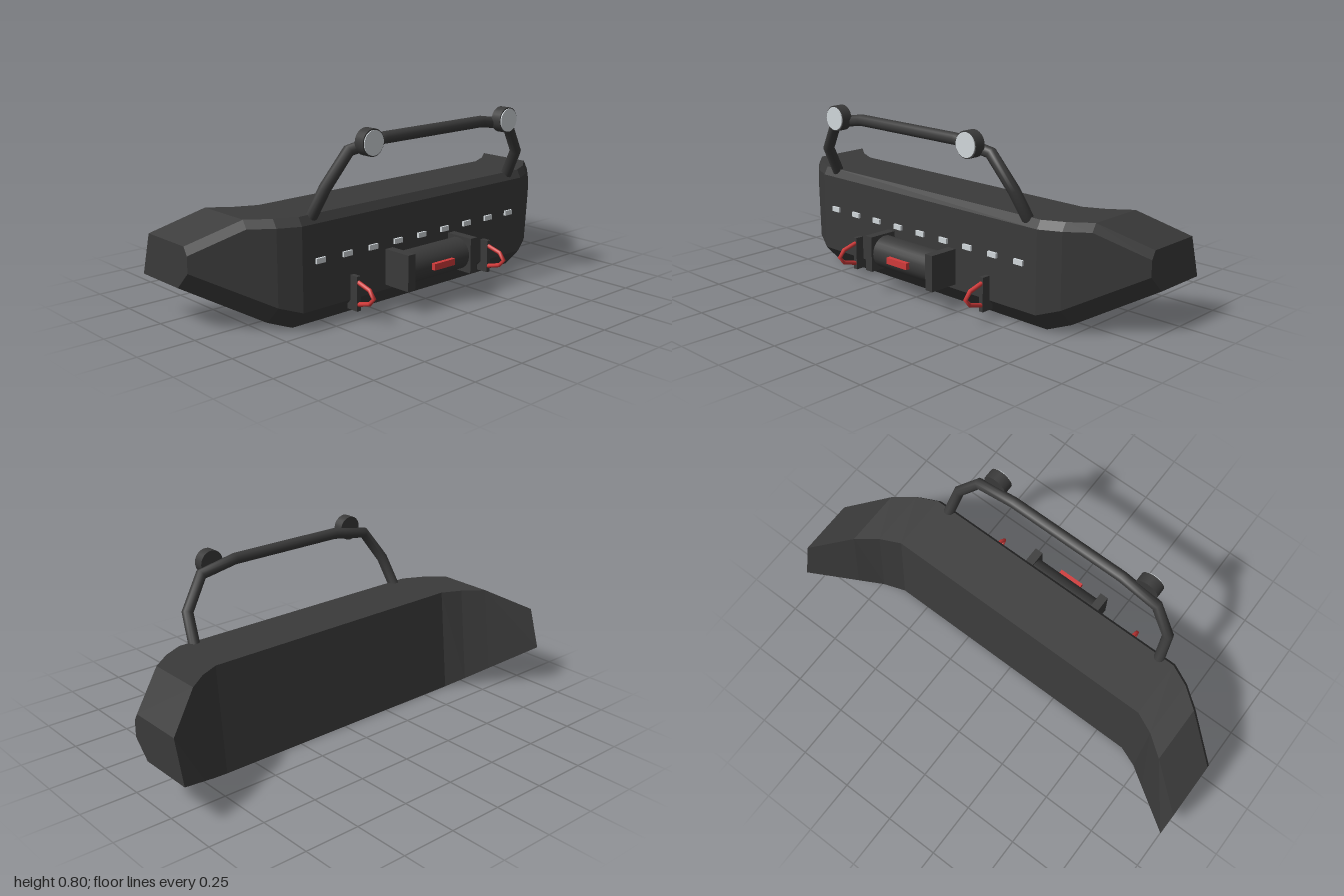
import * as THREE from 'three';

const steel = new THREE.MeshStandardMaterial({ color: 0x3a3a3a });
steel.name = 'darkSteel';
const red = new THREE.MeshStandardMaterial({ color: 0xd03a3a });
red.name = 'red';
const glass = new THREE.MeshStandardMaterial({ color: 0xd0d6da });
glass.name = 'paleGlass';

function add(parent, name, geometry, material, x = 0, y = 0, z = 0) {
  const mesh = new THREE.Mesh(geometry, material);
  mesh.name = name;
  mesh.position.set(x, y, z);
  parent.add(mesh);
  return mesh;
}

// Tube with straight runs and one ring at every corner
function bentTube(points, radius, sides) {
  const v = points.map((p) => new THREE.Vector3(...p));
  const curve = new THREE.Curve();
  curve.getPoint = (t, target = new THREE.Vector3()) => {
    const f = t * (v.length - 1);
    const i = Math.min(Math.floor(f), v.length - 2);
    return target.lerpVectors(v[i], v[i + 1], f - i);
  };
  curve.getPointAt = curve.getPoint;
  curve.getTangentAt = (t, target) => curve.getTangent(t, target);
  return new THREE.TubeGeometry(curve, v.length - 1, radius, sides);
}

// Bumper shell: six-sided section lofted along x, swept back and up at the ends
function shellGeometry() {
  // [z, y] in the middle, then how far each corner sweeps back and up
  const corners = [
    [0.22, 0.08, 0.25, 0.18], [0.22, 0.43, 0.25, 0],
    [0.2, 0.465, 0.25, 0], [-0.06, 0.465, 0.245, 0],
    [-0.11, 0, 0.25, 0.185], [0.145, 0, 0.25, 0.185],
  ];
  // [x, sweep, drop of the top]
  const half = [[0.64, 0, 0], [0.73, 0.17, 0], [0.82, 0.447, 0], [1, 1, 0.1]];
  const stations = [...half].reverse().map(([x, t, d]) => [-x, t, d]).concat(half);
  const positions = [];
  for (const [x, t, drop] of stations) {
    corners.forEach(([z, y, back, up], i) => {
      const top = i >= 1 && i <= 3;
      positions.push(x, y + up * t - (top ? drop : 0), z - back * t);
    });
  }
  const n = corners.length;
  const index = [];
  for (let s = 0; s < stations.length - 1; s++) {
    for (let i = 0; i < n; i++) {
      const a = s * n + i, b = s * n + (i + 1) % n;
      index.push(a, a + n, b, b, a + n, b + n);
    }
  }
  // End caps
  const last = (stations.length - 1) * n;
  for (let i = 1; i < n - 1; i++) {
    index.push(0, i, i + 1, last, last + i + 1, last + i);
  }
  const geometry = new THREE.BufferGeometry();
  geometry.setAttribute('position', new THREE.Float32BufferAttribute(positions, 3));
  geometry.setIndex(index);
  const flat = geometry.toNonIndexed();
  flat.computeVertexNormals();
  return flat;
}

export function createModel() {
  const model = new THREE.Group();
  model.name = 'frontBumper';
  add(model, 'bumperShell', shellGeometry(), steel);

  // Bull bar hoop
  const side = [
    [0.575, 0.43, 0.18], [0.555, 0.575, 0.258],
    [0.46, 0.712, 0.287], [0.28, 0.742, 0.293],
  ];
  const hoop = side.map(([x, y, z]) => [-x, y, z]).concat([...side].reverse());
  add(model, 'bullBar', bentTube(hoop, 0.025, 12), steel);

  // Row of small lamps
  for (let i = -4; i <= 4; i++) {
    add(model, 'smallLamp', new THREE.BoxGeometry(0.046, 0.022, 0.02), glass, i * 0.1385, 0.28, 0.22);
  }

  // Winch: side plates, drum and red hook bar
  const winch = new THREE.Group();
  winch.name = 'winch';
  model.add(winch);
  const drum = add(winch, 'drum', new THREE.CylinderGeometry(0.07, 0.07, 0.33, 24), steel, 0, 0.178, 0.277);
  drum.rotation.z = Math.PI / 2;
  add(winch, 'hookBar', new THREE.BoxGeometry(0.12, 0.028, 0.03), red, 0, 0.178, 0.35);

  for (const s of [-1, 1]) {
    add(winch, 'sidePlate', new THREE.BoxGeometry(0.04, 0.155, 0.145), steel, s * 0.185, 0.178, 0.283);

    // Round lights on the hoop
    const light = new THREE.Group();
    light.name = 'roundLight';
    light.position.set(s * 0.39, 0.743, 0);
    light.rotation.x = 0;
    model.add(light);
    const housing = add(light, 'housing', new THREE.CylinderGeometry(0.055, 0.055, 0.047, 24), steel, 0, 0, 0.329);
    const lens = add(light, 'lens', new THREE.CylinderGeometry(0.05, 0.05, 0.008, 24), glass, 0, 0, 0.353);
    housing.rotation.x = lens.rotation.x = Math.PI / 2;

    // Tow point with red shackle
    const tow = new THREE.Group();
    tow.name = 'towPoint';
    tow.position.x = s * 0.388;
    model.add(tow);
    add(tow, 'towTab', new THREE.BoxGeometry(0.02, 0.147, 0.06), steel, 0, 0.112, 0.23);
    const loop = [
      [0, 0.163, 0.245], [0, 0.142, 0.325], [0, 0.112, 0.35],
      [0, 0.085, 0.325], [0, 0.063, 0.245],
    ];
    add(tow, 'shackle', bentTube(loop, 0.0095, 8), red);
  }
  return model;
}
